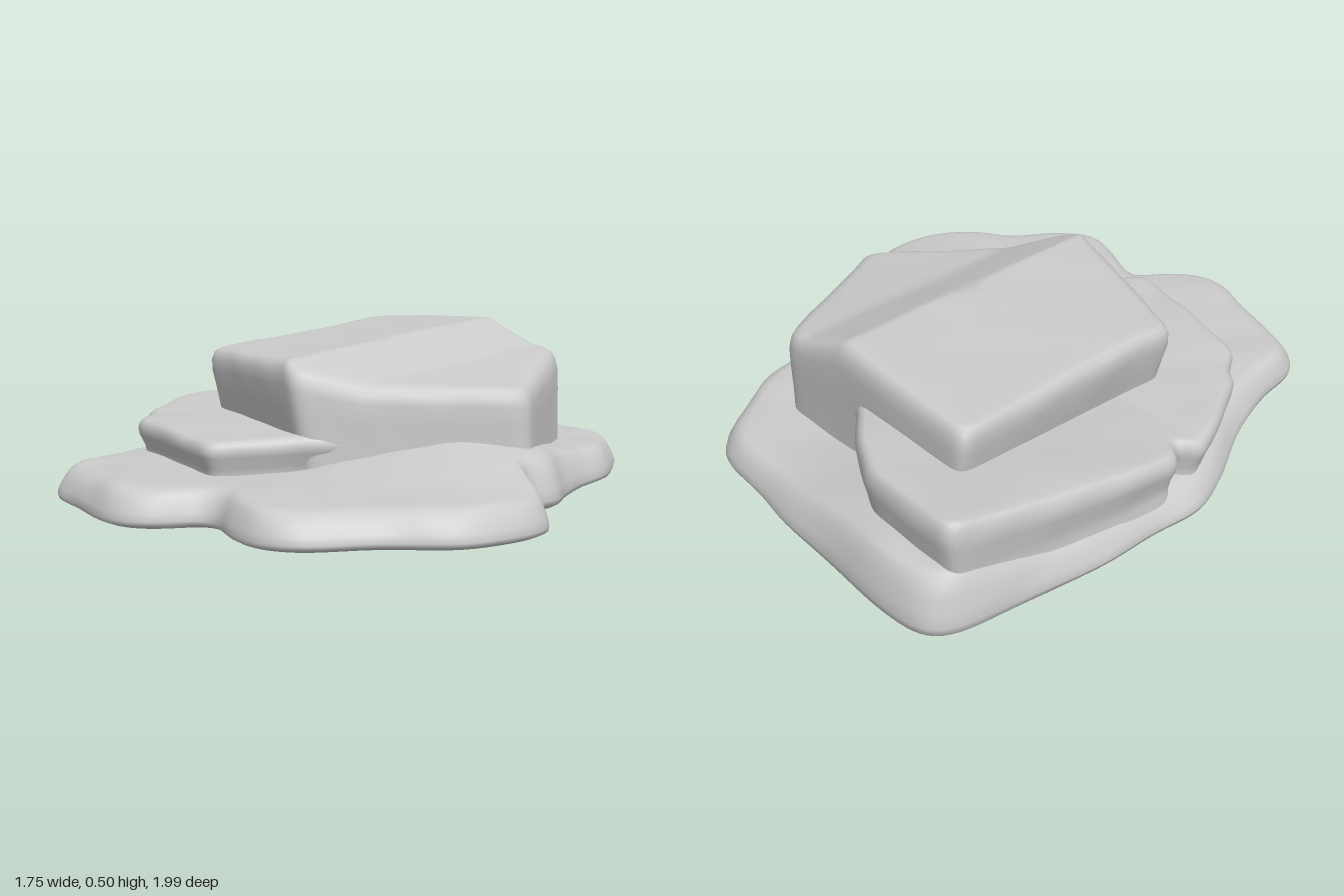
import * as THREE from 'three';

const N = 260;
const clamp = THREE.MathUtils.clamp;
const smooth = THREE.MathUtils.smoothstep;
const material = new THREE.MeshStandardMaterial({ color: 0xcccccc, roughness: 0.9 });

// Evenly resampled closed outline with softly worn corners
function wornOutline(corners, passes) {
  const path = new THREE.CurvePath();
  const pts = corners.map(([x, z]) => new THREE.Vector2(x, z));
  pts.forEach((p, i) => path.add(new THREE.LineCurve(p, pts[(i + 1) % pts.length])));
  let ring = path.getSpacedPoints(N).slice(0, N);
  for (let k = 0; k < passes; k++) {
    ring = ring.map((p, i) => ring[(i + N - 1) % N].clone().add(ring[(i + 1) % N]).add(p).divideScalar(3));
  }
  return ring;
}

// Stone slab: rings follow [inset, height fraction] up the side, then close over the top.
// top(x, z) gives the upper surface; lean shifts the foot of the slab sideways.
function slab(name, { corners, centre, bottom, top, profile, passes = 10, lean = 0, wear = 0.006 }) {
  const outline = wornOutline(corners, passes);
  const [cx, cz] = centre;
  const rings = profile.map(([inset, t]) => ({ inset, t, scale: 1 }));
  const last = profile[profile.length - 1][0];
  for (let k = 1; k <= 12; k++) rings.push({ inset: last, t: 1, scale: 1 - k / 12 });
  rings.unshift({ inset: 0, t: 0, scale: 0 }, { inset: profile[0][0], t: 0, scale: 1 });

  const pos = [], index = [];
  rings.forEach(({ inset, t, scale }) => {
    for (const p of outline) {
      const dx = p.x - cx, dz = p.y - cz, r = Math.hypot(dx, dz);
      const s = scale * (1 - inset / r);
      let x = cx + dx * s, z = cz + dz * s;
      const y = bottom + (top(x, z) - bottom) * t;
      const bump = wear * t * (Math.sin(x * 9 + z * 4) * Math.sin(z * 8 - x * 3) + 0.4 * Math.sin(x * 23 + y * 30) * Math.sin(z * 19));
      if (scale === 1) {
        x += dx / r * bump;
        z += dz / r * bump;
      }
      pos.push(x + lean * (1 - t), y + bump * 0.6, z);
    }
  });
  for (let j = 0; j < rings.length - 1; j++) {
    for (let i = 0; i < N; i++) {
      const a = j * N + i, b = j * N + (i + 1) % N, c = a + N, d = b + N;
      if (rings[j].scale > 0) index.push(a, c, b);
      if (rings[j + 1].scale > 0) index.push(b, c, d);
    }
  }
  const geo = new THREE.BufferGeometry();
  geo.setAttribute('position', new THREE.Float32BufferAttribute(pos, 3));
  geo.setIndex(index);
  geo.computeVertexNormals();
  const mesh = new THREE.Mesh(geo, material);
  mesh.name = name;
  return mesh;
}

// Outlines run clockwise seen from above, so reverse them for outward faces
const outward = (corners) => {
  let area = 0;
  corners.forEach(([x, z], i) => {
    const [u, v] = corners[(i + 1) % corners.length];
    area += x * v - u * z;
  });
  return area > 0 ? corners : [...corners].reverse();
};

export function createModel() {
  const group = new THREE.Group();
  group.name = 'layeredRock';

  // Broad ground slab with two front lobes, rising under the upper layers
  group.add(slab('groundSlab', {
    corners: outward([
      [-0.69, -1.0], [-0.5, -1.0], [-0.25, -0.96], [0.0, -0.93], [0.12, -0.89], [0.36, -0.86], [0.43, -0.78],
      [0.56, -0.52], [0.57, -0.35], [0.62, -0.2], [0.645, -0.1], [0.71, -0.03], [0.64, 0.06], [0.72, 0.14],
      [0.87, 0.26], [0.88, 0.4], [0.81, 0.61], [0.62, 0.74], [0.49, 0.92], [0.36, 0.96], [0.2, 0.9], [0.13, 0.83],
      [0.04, 0.83], [-0.02, 0.95], [-0.12, 1.01], [-0.25, 0.98], [-0.4, 0.91], [-0.57, 0.86], [-0.66, 0.78],
      [-0.66, 0.6], [-0.72, 0.38], [-0.84, 0.12], [-0.89, -0.04], [-0.85, -0.2], [-0.84, -0.4], [-0.77, -0.75], [-0.74, -0.92],
    ]),
    centre: [-0.03, -0.02],
    bottom: 0,
    passes: 9,
    wear: 0.008,
    top: (x, z) => 0.11
      + 0.1 * clamp(1 - Math.hypot(x - 0.35, z - 0.05) / 0.5, 0, 1)
      + 0.09 * smooth(-z, 0.4, 0.9) * smooth(-x, -0.2, 0.5),
    profile: [[0.025, 0], [0.004, 0.08], [0, 0.2], [0.006, 0.4], [0.022, 0.65], [0.038, 0.84], [0.058, 0.95], [0.085, 1]],
  }));

  // Middle slab, climbing towards the back left, with a crack in its left edge
  group.add(slab('middleSlab', {
    corners: outward([
      [-0.71, -0.92], [-0.55, -0.91], [-0.34, -0.88], [-0.22, -0.8], [-0.04, -0.64], [0.24, -0.57],
      [0.5, -0.03], [0.05, 0.5], [-0.08, 0.69], [-0.6, 0.5], [-0.64, 0.41], [-0.7, 0.37], [-0.82, 0.1], [-0.86, -0.01],
      [-0.79, -0.06], [-0.86, -0.12], [-0.84, -0.3], [-0.78, -0.62],
    ]),
    centre: [-0.3, -0.1],
    bottom: 0.04,
    passes: 4,
    top: (x, z) => 0.232 - 0.03 * Math.max(z, 0) + 0.15 * Math.max(-z, 0),
    profile: [[0.02, 0], [0.03, 0.3], [0.022, 0.5], [0.004, 0.7], [0, 0.82], [0.006, 0.92], [0.018, 0.98], [0.035, 1]],
  }));

  // Five-sided cap slab with a ridge along the middle, undercut on the left
  group.add(slab('capSlab', {
    corners: outward([[-0.56, -0.71], [0.28, -0.63], [0.56, -0.04], [0.05, 0.47], [-0.575, 0.2], [-0.555, 0.0]]),
    centre: [-0.05, -0.12],
    bottom: 0.08,
    passes: 7,
    lean: 0.05,
    wear: 0.004,
    top: (x, z) => 0.466 - 0.06 * z + 0.06 * Math.min(x, 0)
      - 0.4 * clamp(x, 0, 0.2) - 0.12 * Math.max(x - 0.2, 0),
    profile: [[0.03, 0], [0.02, 0.3], [0.008, 0.6], [0, 0.8], [0.004, 0.9], [0.014, 0.96], [0.03, 0.99], [0.05, 1]],
  }));

  return group;
}
